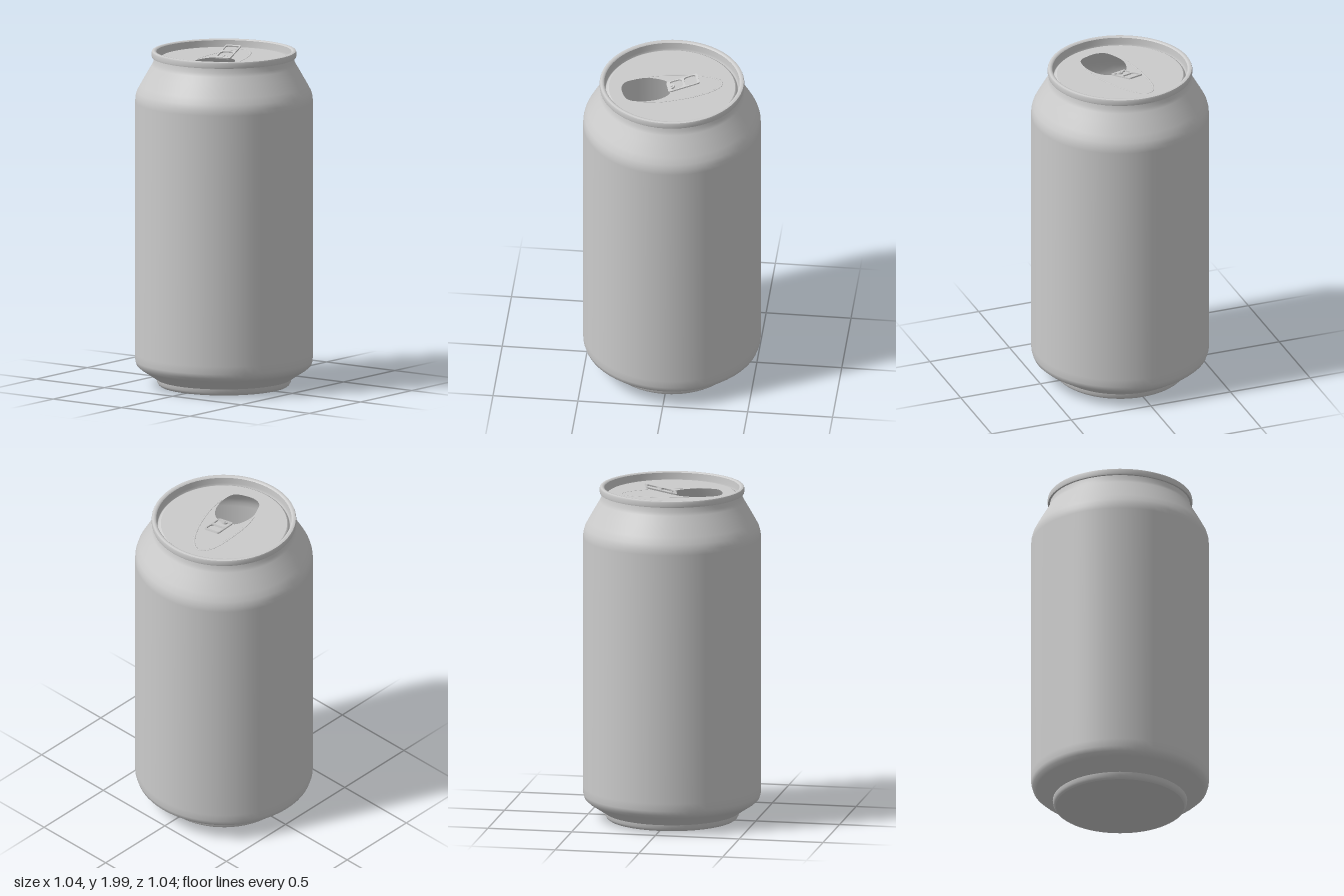
import * as THREE from 'three';

const LID_Y = 1.95;
const SEGMENTS = 64;
const metal = new THREE.MeshStandardMaterial({ color: 0xcccccc, side: THREE.DoubleSide });

const vectors = (pairs) => pairs.map(([a, b]) => new THREE.Vector2(a, b));

function part(name, geometry) {
  const mesh = new THREE.Mesh(geometry, metal);
  mesh.name = name;
  return mesh;
}

const turned = (name, profile) => part(name, new THREE.LatheGeometry(vectors(profile), SEGMENTS));

// Closed smooth outline from [x, z] points, laid out for a shape that is turned to face up
function smoothOutline(points) {
  const curve = new THREE.CatmullRomCurve3(points.map(([x, z]) => new THREE.Vector3(x, -z, 0)), true);
  return new THREE.Path(curve.getPoints(64).slice(0, -1).map((p) => new THREE.Vector2(p.x, p.y)));
}

function roundedRect(path, x0, y0, x1, y1, r) {
  path.moveTo(x0 + r, y0);
  path.lineTo(x1 - r, y0).quadraticCurveTo(x1, y0, x1, y0 + r);
  path.lineTo(x1, y1 - r).quadraticCurveTo(x1, y1, x1 - r, y1);
  path.lineTo(x0 + r, y1).quadraticCurveTo(x0, y1, x0, y1 - r);
  path.lineTo(x0, y0 + r).quadraticCurveTo(x0, y0, x0 + r, y0);
  return path;
}

// Flat lid panel with the open mouth
function lidPanel() {
  const shape = new THREE.Shape().absarc(0, 0, 0.37, 0, Math.PI * 2);
  shape.holes.push(smoothOutline([
    [0, 0.02], [-0.05, 0.035], [-0.075, 0.1], [-0.074, 0.17], [-0.05, 0.23], [-0.02, 0.277], [0.03, 0.294],
    [0.1, 0.277], [0.15, 0.246], [0.163, 0.19], [0.15, 0.11], [0.113, 0.042], [0.06, 0.006],
  ]));
  return part('lidPanel', new THREE.ShapeGeometry(shape, 32).rotateX(-Math.PI / 2).translate(0, LID_Y, 0));
}

// Faint pressed bead running round the tab to both sides of the mouth
function lidBead() {
  const path = new THREE.CatmullRomCurve3([
    [-0.085, 0.16], [-0.108, 0.084], [-0.127, -0.07], [-0.124, -0.21], [-0.096, -0.274], [-0.06, -0.288],
    [-0.004, -0.257], [0.071, -0.154], [0.127, -0.028], [0.158, 0.07], [0.168, 0.15],
  ].map(([x, z]) => new THREE.Vector3(x, 0, z)));
  const geometry = new THREE.TubeGeometry(path, 80, 0.006, 8).scale(1, 0.3, 1);
  return part('lidBead', geometry.translate(0, LID_Y, 0));
}

// Pull tab, pivoting on its rivet with the finger end lifted
function pullTab() {
  const tab = new THREE.Group();
  tab.name = 'pullTab';

  const plate = roundedRect(new THREE.Shape(), -0.048, -0.027, 0.048, 0.164, 0.014);
  const finger = new THREE.Path();
  finger.moveTo(-0.026, 0.078);
  finger.lineTo(0.026, 0.078).quadraticCurveTo(0.04, 0.082, 0.041, 0.1);
  finger.lineTo(0.041, 0.138).quadraticCurveTo(0.041, 0.15, 0.029, 0.15);
  finger.lineTo(-0.029, 0.15).quadraticCurveTo(-0.041, 0.15, -0.041, 0.138);
  finger.lineTo(-0.041, 0.1).quadraticCurveTo(-0.04, 0.082, -0.026, 0.078);
  // Window cut round the rivet tongue
  const window = new THREE.Path();
  window.moveTo(-0.041, -0.004);
  window.lineTo(-0.022, -0.004).quadraticCurveTo(-0.018, 0.017, 0, 0.018);
  window.quadraticCurveTo(0.018, 0.017, 0.022, -0.004);
  window.lineTo(0.041, -0.004).lineTo(0.041, 0.035);
  window.quadraticCurveTo(0.04, 0.064, 0.015, 0.066);
  window.lineTo(-0.015, 0.066).quadraticCurveTo(-0.04, 0.064, -0.041, 0.035);
  window.lineTo(-0.041, -0.004);
  plate.holes.push(finger, window);

  const geometry = new THREE.ExtrudeGeometry(plate, { depth: 0.008, bevelEnabled: false, curveSegments: 8 });
  tab.add(part('tabPlate', geometry.rotateX(-Math.PI / 2)));
  tab.add(part('rivet', new THREE.CylinderGeometry(0.008, 0.009, 0.018, 20).translate(0, 0.003, 0)));

  tab.rotation.set(0.25, 0.265, 0, 'YXZ');
  tab.position.y = LID_Y + 0.002;
  return tab;
}

export function createModel() {
  const can = new THREE.Group();
  can.name = 'drinkCan';
  can.add(
    turned('base', [[0, 0.006], [0.375, 0.006]]),
    turned('foot', [[0.375, 0.006], [0.383, 0.012], [0.391, 0.025], [0.394, 0.045]]),
    turned('body', [
      [0.394, 0.045], [0.405, 0.052], [0.45, 0.082], [0.49, 0.108], [0.511, 0.127], [0.52, 0.155],
      [0.521, 0.2], [0.521, 1.69], [0.519, 1.72], [0.51, 1.752], [0.49, 1.79], [0.45, 1.86],
      [0.424, 1.905], [0.414, 1.925], [0.41, 1.955],
    ]),
    // Rolled rim
    turned('rimUnderside', [[0.405, 1.954], [0.422, 1.954]]),
    turned('rimBand', [[0.422, 1.954], [0.424, 1.962], [0.424, 1.982], [0.421, 1.99]]),
    turned('rimTop', [[0.421, 1.99], [0.412, 1.993], [0.402, 1.992], [0.396, 1.986]]),
    // Inner wall, groove and rounded lid edge
    turned('lidGroove', [
      [0.396, 1.986], [0.394, 1.95], [0.391, 1.934], [0.387, 1.931], [0.383, 1.935], [0.379, 1.945], [0.37, LID_Y],
    ]),
    lidPanel(),
    lidBead(),
    pullTab(),
  );
  return can;
}
